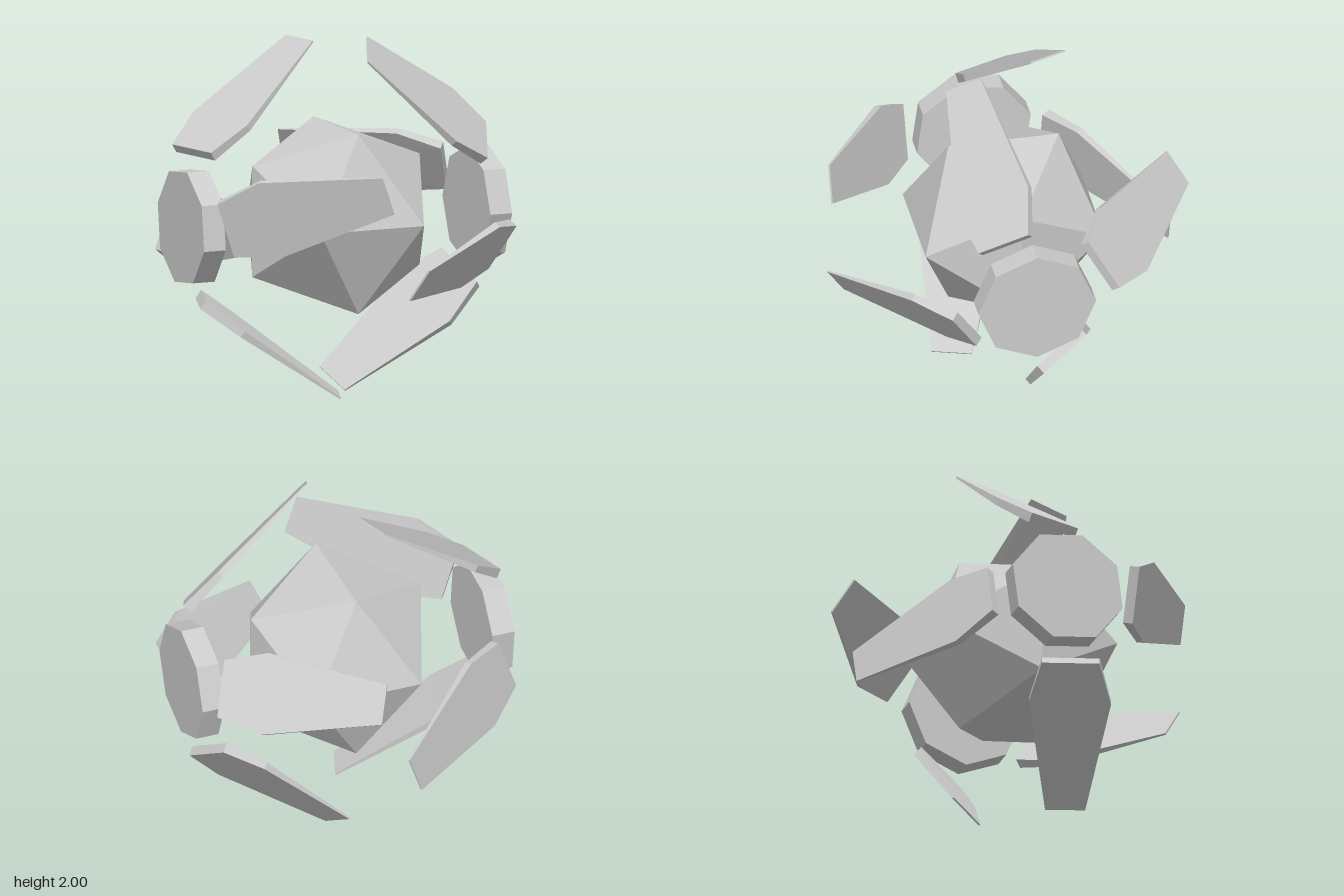
import * as THREE from 'three';

const material = new THREE.MeshStandardMaterial({ color: 0xcccccc, flatShading: true });

// Outer-face corners of one armour panel (relative to the core) and its thickness at each corner
const CORNERS = [
  [0.125, 0.995, 0.148, 0.01],
  [0.053, 0.889, 0.323, 0.01],
  [0.56, 0.425, 0.365, 0.04],
  [0.772, 0.305, 0.295, 0.055],
  [0.875, 0.462, 0.045, 0.055],
  [0.70, 0.66, 0.014, 0.04],
];
const NORMAL = new THREE.Vector3(0.53, 0.62, 0.58).normalize();
const PLANE_DISTANCE = 0.774;

// Wedge-shaped six-sided panel; side = -1 gives the mirrored version
function panelGeometry(side) {
  const outer = [], inner = [];
  for (const [x, y, z, thickness] of CORNERS) {
    const p = new THREE.Vector3(x, y, z);
    p.addScaledVector(NORMAL, PLANE_DISTANCE - p.dot(NORMAL)); // keep the face flat
    const q = p.clone().addScaledVector(NORMAL, -thickness);
    p.x *= side;
    q.x *= side;
    outer.push(p);
    inner.push(q);
  }
  if (side < 0) {
    outer.reverse();
    inner.reverse();
  }
  const points = [];
  const n = outer.length;
  for (let i = 1; i < n - 1; i++) {
    points.push(outer[0], outer[i], outer[i + 1]);
    points.push(inner[0], inner[i + 1], inner[i]);
  }
  for (let i = 0; i < n; i++) {
    const j = (i + 1) % n;
    points.push(outer[i], inner[i], inner[j], outer[i], inner[j], outer[j]);
  }
  const geometry = new THREE.BufferGeometry().setFromPoints(points);
  geometry.computeVertexNormals();
  return geometry;
}

// One half of the shell: an octagonal end cap ringed by four panels
function shellHalf(name, side) {
  const half = new THREE.Group();
  half.name = name;

  const cap = new THREE.Mesh(new THREE.CylinderGeometry(0.325, 0.325, 0.128, 8), material);
  cap.name = 'endCap';
  cap.rotation.z = Math.PI / 2;
  cap.position.x = side * 0.842;
  half.add(cap);

  const geometry = panelGeometry(side);
  for (let i = 0; i < 4; i++) {
    const panel = new THREE.Mesh(geometry, material);
    panel.name = 'shellPanel' + (i + 1);
    panel.rotation.x = i * Math.PI / 2;
    half.add(panel);
  }
  return half;
}

export function createModel() {
  const model = new THREE.Group();
  model.name = 'shelledCore';

  // Faceted core
  const core = new THREE.Mesh(new THREE.IcosahedronGeometry(0.58, 0), material);
  core.name = 'core';
  core.rotation.y = Math.PI / 2;
  core.position.set(0.008, 1, 0);
  model.add(core);

  // The right half is the mirrored left half, twisted about the x axis
  const left = shellHalf('leftShell', 1);
  const right = shellHalf('rightShell', -1);
  right.rotation.x = -Math.PI / 6;
  for (const half of [left, right]) {
    half.position.y = 1;
    model.add(half);
  }
  return model;
}
